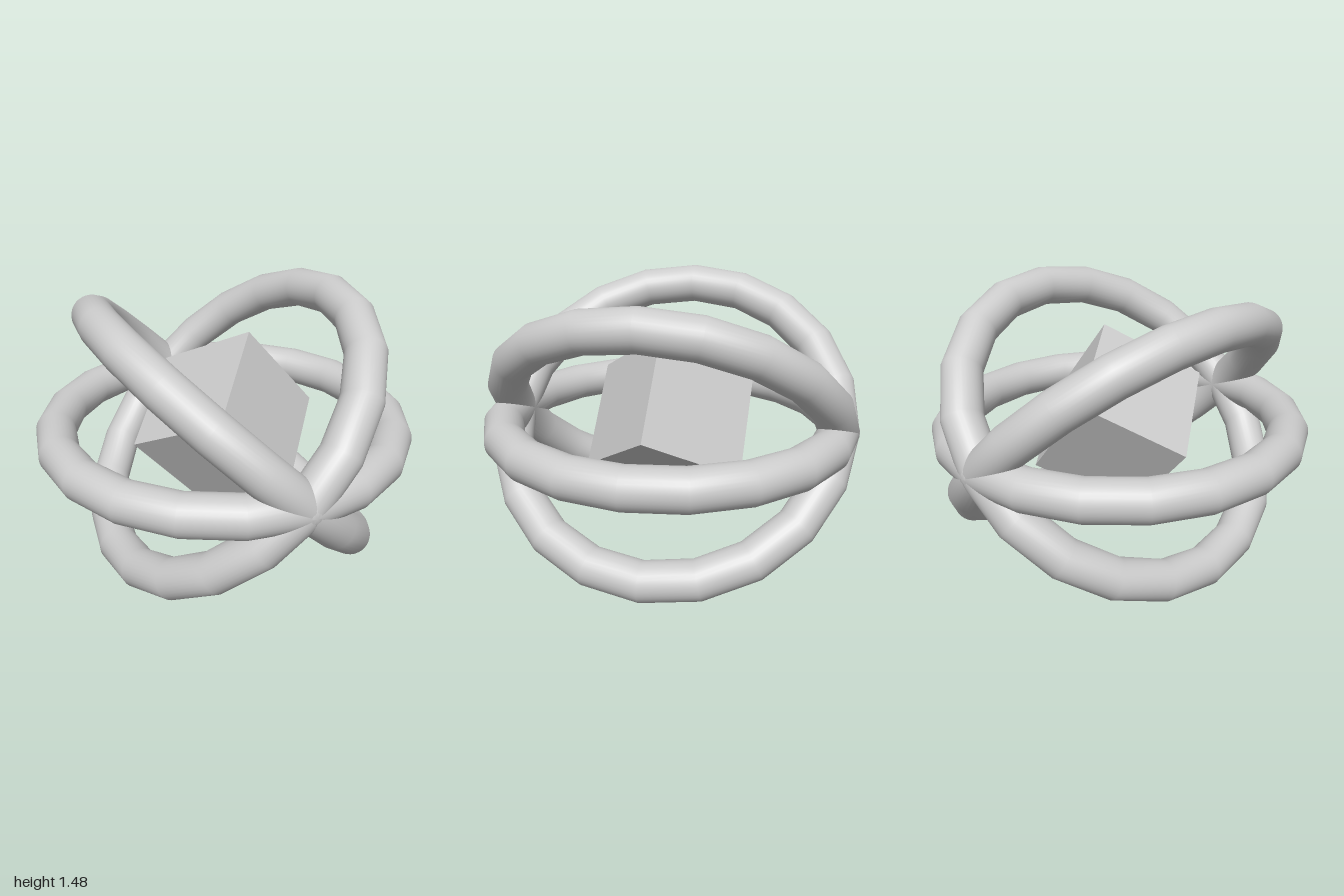
import * as THREE from 'three';

export function createModel() {
  const model = new THREE.Group();
  const material = new THREE.MeshStandardMaterial({ color: 0xcccccc });
  const centreY = 0.742;

  // Three equal rings crossing at the front and back, turned about the z axis
  const ringGeometry = new THREE.TorusGeometry(0.895, 0.105, 32, 20).rotateX(Math.PI / 2);
  const tilts = { levelRing: 0, risingRing: Math.PI / 4, fallingRing: -Math.PI / 4 };
  for (const [name, tilt] of Object.entries(tilts)) {
    const ring = new THREE.Mesh(ringGeometry, material);
    ring.name = name;
    ring.position.y = centreY;
    ring.rotation.z = tilt;
    model.add(ring);
  }

  // Tumbled cube in the middle, oriented by the directions of its edges
  const edgeA = new THREE.Vector3(-0.30, -0.26, -0.44).normalize();
  const edgeC = new THREE.Vector3(-0.34, -0.285, 0.40).normalize();
  const edgeB = new THREE.Vector3().crossVectors(edgeC, edgeA).normalize();
  edgeC.crossVectors(edgeA, edgeB);
  const cube = new THREE.Mesh(new THREE.BoxGeometry(0.595, 0.595, 0.595), material);
  cube.name = 'centreCube';
  cube.quaternion.setFromRotationMatrix(new THREE.Matrix4().makeBasis(edgeA, edgeB, edgeC));
  cube.position.set(0.01, 0.746, 0);
  model.add(cube);

  return model;
}
